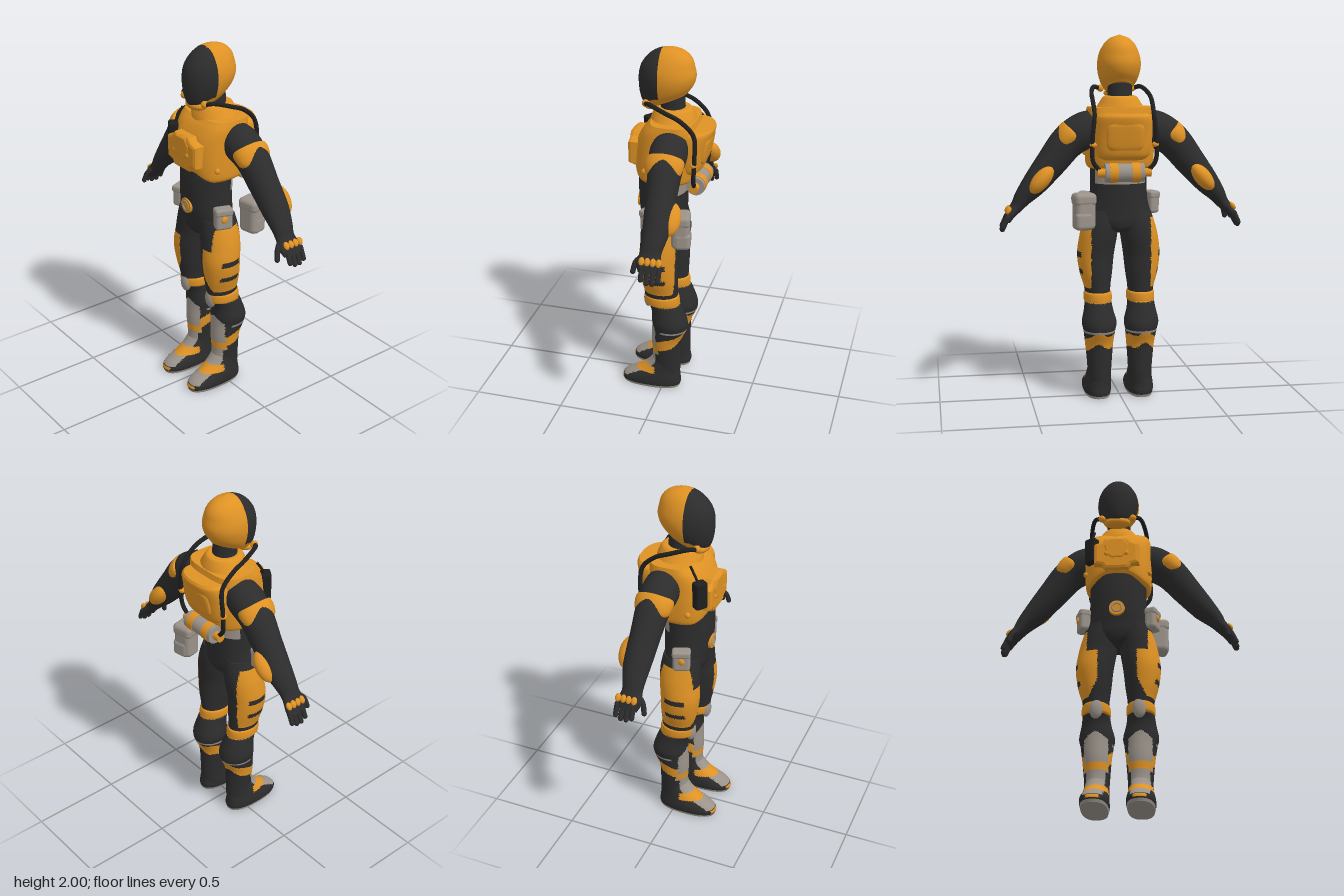
import * as THREE from 'three';
import { RoundedBoxGeometry } from 'three/addons/geometries/RoundedBoxGeometry.js';

const colour = (name, hex) => {
  const m = new THREE.MeshStandardMaterial({ color: hex });
  m.name = name;
  return m;
};

// Smooth skin through rings [x, y, z, radiusU, radiusZ, squareness]; vertical rings run upwards.
// tilt turns the sections along the path; pick(x, y, z) gives the material index of each face.
function loft(rings, { n = 32, m = 8, tilt = false, pick, warp } = {}) {
  const steps = m * (rings.length - 1);
  const path = new THREE.CatmullRomCurve3(rings.map(r => new THREE.Vector3(r[0], r[1], r[2])), false, 'catmullrom');
  const size = new THREE.CatmullRomCurve3(rings.map(r => new THREE.Vector3(r[3], r[4], r[5] || 2)), false, 'catmullrom');
  const pos = [], tris = [];
  const power = (v, e) => Math.sign(v) * Math.abs(v) ** e;
  const addRing = t => {
    const c = path.getPoint(t), s = size.getPoint(t), d = path.getTangent(t);
    const len = Math.hypot(d.x, d.y);
    const ux = tilt ? d.y / len : 1, uy = tilt ? -d.x / len : 0;
    for (let j = 0; j < n; j++) {
      const a = j / n * Math.PI * 2;
      const u = s.x * power(Math.cos(a), 2 / s.z), v = s.y * power(Math.sin(a), 2 / s.z);
      const p = new THREE.Vector3(c.x + ux * u, c.y + uy * u, c.z + v);
      if (warp) warp(p);
      pos.push(p.x, p.y, p.z);
    }
  };
  for (let i = 0; i <= steps; i++) addRing(i / steps);
  for (let i = 0; i < steps; i++) for (let j = 0; j < n; j++) {
    const k = (j + 1) % n, a = i * n + j, b = i * n + k;
    tris.push([a, a + n, b], [b, a + n, b + n]);
  }
  for (const end of [0, 1]) {
    const base = pos.length / 3;
    addRing(end);
    const mid = [0, 0, 0];
    for (let j = 0; j < n; j++) for (let q = 0; q < 3; q++) mid[q] += pos[(base + j) * 3 + q] / n;
    pos.push(...mid);
    for (let j = 0; j < n; j++) {
      const a = base + j, b = base + (j + 1) % n;
      tris.push(end ? [base + n, b, a] : [base + n, a, b]);
    }
  }
  const geo = new THREE.BufferGeometry();
  geo.setAttribute('position', new THREE.Float32BufferAttribute(pos, 3));
  if (pick) {
    const buckets = [[], [], []];
    for (const t of tris) {
      const mean = q => (pos[t[0] * 3 + q] + pos[t[1] * 3 + q] + pos[t[2] * 3 + q]) / 3;
      buckets[pick(mean(0), mean(1), mean(2))].push(...t);
    }
    let start = 0;
    buckets.forEach((b, i) => { if (b.length) geo.addGroup(start, b.length, i); start += b.length; });
    geo.setIndex(buckets.flat());
  } else geo.setIndex(tris.flat());
  geo.computeVertexNormals();
  return geo;
}

// Mirror a geometry across x = 0 and keep its faces outward
function mirrored(geo) {
  const g = geo.clone();
  if (!g.index) g.setIndex([...Array(g.attributes.position.count).keys()]);
  g.scale(-1, 1, 1);
  const ix = g.index.array;
  for (let i = 0; i < ix.length; i += 3) [ix[i + 1], ix[i + 2]] = [ix[i + 2], ix[i + 1]];
  return g;
}

const clamp = THREE.MathUtils.clamp;
const ball = ([x, y, z], [a, b, c], rz = 0) =>
  new THREE.SphereGeometry(1, 24, 16).scale(a, b, c).rotateZ(rz).translate(x, y, z);
const box = ([x, y, z], [a, b, c], r = 0.015, ry = 0) =>
  new RoundedBoxGeometry(a, b, c, 3, r).rotateY(ry).translate(x, y, z);
const tube = (pts, r, n = 24) =>
  new THREE.TubeGeometry(new THREE.CatmullRomCurve3(pts.map(p => new THREE.Vector3(...p))), n, r, 10);
const plate = (pts, z, depth, bevel) => new THREE.ExtrudeGeometry(
  new THREE.Shape(pts.map(p => new THREE.Vector2(...p))),
  { depth, bevelThickness: bevel, bevelSize: bevel, bevelSegments: 2 }).translate(0, 0, z);
const both = half => [...half, ...half.slice().reverse().map(([x, y]) => [-x, y])];

export function createModel() {
  const orange = colour('suit orange', 0xdf9224), black = colour('undersuit black', 0x2c2c2c);
  const grey = colour('armour grey', 0x9b938a), rubber = colour('rubber black', 0x1f1f20);
  const mats = [orange, black, grey];
  const group = new THREE.Group();
  const add = (name, geo, mat = mats) => {
    const mesh = new THREE.Mesh(geo, mat);
    mesh.name = name;
    group.add(mesh);
  };
  const pair = (name, geo, mat = mats) => {
    add(name + 'Left', geo, mat);
    add(name + 'Right', mirrored(geo), mat);
  };

  // Helmet with dark visor; the rim slopes down to the chin and vertices snap to the visor edge
  add('helmet', loft([
    [0, 1.715, 0.01, 0.07, 0.11], [0, 1.76, 0.01, 0.1, 0.14], [0, 1.82, 0.01, 0.117, 0.153],
    [0, 1.88, 0.01, 0.114, 0.148], [0, 1.94, 0, 0.09, 0.122], [0, 1.98, -0.005, 0.055, 0.075], [0, 2, -0.005, 0.005, 0.007],
  ], {
    n: 64, m: 10,
    warp: p => {
      p.y -= p.z * 0.4 * clamp((1.9 - p.y) / 0.18, 0, 1);
      if (Math.abs(p.z - 0.036) < 0.008) p.z = 0.036;
    },
    pick: (x, y, z) => z > 0.036 && (x / 0.128) ** 2 + ((y - 1.84) / 0.15) ** 2 < 1 ? 1 : 0,
  }));
  add('chinGuard', ball([0, 1.685, 0.095], [0.072, 0.03, 0.045]), orange);
  pair('hoseSocket', ball([0.088, 1.71, 0.105], [0.02, 0.02, 0.02]), orange);
  add('neck', loft([[0, 1.56, -0.025, 0.075, 0.07], [0, 1.68, -0.02, 0.066, 0.066], [0, 1.78, -0.01, 0.07, 0.07]]), black);
  add('collar', loft([[0, 1.57, -0.025, 0.165, 0.13], [0, 1.62, -0.025, 0.125, 0.12], [0, 1.665, -0.025, 0.095, 0.1], [0, 1.675, -0.025, 0.08, 0.085]]), orange);

  // Torso
  add('undersuit', loft([
    [0, 0.925, 0.02, 0.03, 0.05], [0, 0.945, 0.02, 0.1, 0.1], [0, 0.99, 0.022, 0.17, 0.118], [0, 1.04, 0.025, 0.175, 0.122],
    [0, 1.12, 0.03, 0.16, 0.13], [0, 1.25, 0.03, 0.156, 0.135], [0, 1.39, 0.02, 0.165, 0.135],
  ], { n: 40, pick: (x, y, z) => y > 1.2 && z < -0.03 ? 2 : 1 }));
  add('vest', loft([
    [0, 1.285, 0.005, 0.17, 0.155, 2.5], [0, 1.31, 0.005, 0.183, 0.165, 2.6], [0, 1.4, 0, 0.187, 0.174, 2.6],
    [0, 1.5, -0.005, 0.186, 0.165, 2.7], [0, 1.57, -0.02, 0.185, 0.143, 3.2], [0, 1.615, -0.035, 0.178, 0.118, 3.4],
  ], {
    n: 48, m: 6,
    // Raise the hem over the belly
    warp: p => { if (p.z > 0.05) p.y += 0.045 * clamp((1.39 - p.y) / 0.1, 0, 1) * clamp((0.15 - Math.abs(p.x)) / 0.08, 0, 1); },
  }), orange);
  add('chestPlate', plate(both([[0.03, 1.36], [0.056, 1.36], [0.07, 1.38], [0.107, 1.39], [0.107, 1.485], [0.07, 1.5], [0.055, 1.517]]), 0.135, 0.045, 0.018), orange);
  add('chestBoss', plate(both([[0.025, 1.415], [0.05, 1.435], [0.06, 1.485], [0.035, 1.52]]), 0.185, 0.01, 0.008), orange);
  pair('chestKnob', ball([0.055, 1.435, 0.192], [0.016, 0.016, 0.014]), orange);
  pair('vestStud', ball([0.178, 1.36, 0.09], [0.014, 0.016, 0.016]), orange);
  add('beltBuckle', new THREE.CylinderGeometry(0.042, 0.045, 0.02, 28).rotateX(Math.PI / 2).translate(0, 1.115, 0.158), orange);
  add('buckleRing', new THREE.TorusGeometry(0.025, 0.005, 8, 28).translate(0, 1.115, 0.168), grey);

  // Radio on the chest
  add('radio', box([-0.14, 1.475, 0.143], [0.07, 0.155, 0.055], 0.012, -0.6), rubber);
  add('radioAntenna', tube([[-0.14, 1.53, 0.14], [-0.138, 1.58, 0.115], [-0.13, 1.63, 0.085]], 0.007, 8), rubber);

  // Backpack, air tank and hoses
  add('backpack', loft([
    [0, 1.335, -0.13, 0.11, 0.04, 2.5], [0, 1.37, -0.13, 0.145, 0.07, 2.5], [0, 1.48, -0.13, 0.158, 0.095, 2.4],
    [0, 1.56, -0.14, 0.152, 0.107, 2.3], [0, 1.585, -0.15, 0.13, 0.09, 2.3],
  ], { n: 40 }), orange);
  add('backPanel', loft([
    [0, 1.39, -0.19, 0.08, 0.018, 3], [0, 1.42, -0.197, 0.1, 0.022, 3], [0, 1.51, -0.21, 0.1, 0.027, 3], [0, 1.54, -0.212, 0.08, 0.026, 3],
  ]), orange);
  const drum = (r, len, x) => new THREE.CylinderGeometry(r, r, len, 28).rotateZ(Math.PI / 2).translate(x, 1.27, -0.17);
  add('airTank', drum(0.05, 0.21, 0), grey);
  pair('tankBand', drum(0.053, 0.045, 0.06), orange);
  pair('tankValve', drum(0.024, 0.05, 0.12), orange);
  pair('airHose', tube([
    [0.085, 1.705, 0.11], [0.125, 1.72, 0.08], [0.155, 1.69, -0.02], [0.16, 1.655, -0.1], [0.16, 1.58, -0.172],
    [0.172, 1.45, -0.18], [0.168, 1.33, -0.175], [0.125, 1.275, -0.17],
  ], 0.012, 48), rubber);
  pair('hoseClip', ball([0.168, 1.42, -0.175], [0.02, 0.016, 0.02]), orange);

  // Arms and gloves
  pair('arm', loft([
    [0.12, 1.52, -0.05, 0.085, 0.085], [0.2, 1.49, -0.05, 0.1, 0.1], [0.29, 1.43, -0.055, 0.094, 0.09], [0.38, 1.32, -0.06, 0.083, 0.08],
    [0.47, 1.21, -0.065, 0.068, 0.075], [0.53, 1.14, -0.06, 0.05, 0.063], [0.565, 1.09, -0.055, 0.036, 0.056],
    [0.6, 1.05, -0.055, 0.028, 0.068], [0.625, 1.01, -0.065, 0.02, 0.06],
  ], { tilt: true }), black);
  pair('shoulderPad', loft([
    [0.255, 1.49, -0.05, 0.055, 0.08], [0.265, 1.48, -0.05, 0.074, 0.1], [0.29, 1.46, -0.05, 0.072, 0.104],
    [0.318, 1.425, -0.05, 0.058, 0.092], [0.33, 1.405, -0.05, 0.035, 0.06],
  ], { tilt: true }), orange);
  pair('elbowPad', ball([0.44, 1.235, -0.125], [0.09, 0.045, 0.055], -0.88), orange);
  for (let i = 0; i < 4; i++) {
    const z = -0.115 + i * 0.03, drop = i === 0 || i === 3 ? 0.015 : 0;
    pair('finger' + (i + 1), new THREE.CapsuleGeometry(0.014, 0.075 - drop, 4, 10).rotateZ(0.42).translate(0.634, 1.0 + drop / 2, z), black);
    pair('knuckle' + (i + 1), ball([0.616, 1.07, z + 0.003], [0.012, 0.022, 0.016], 0.6), orange);
  }
  pair('thumb', tube([[0.57, 1.08, -0.02], [0.59, 1.05, 0.015], [0.605, 1.0, 0.028]], 0.014, 10), black);
  pair('thumbTip', ball([0.605, 1.0, 0.028], [0.014, 0.016, 0.014]), black);

  // Legs with thigh panels, knee bands and shin guards
  const legPaint = (x, y, z) => {
    if (y > 0.62) {
      const slit = z > -0.03 && z < 0.085 && (Math.abs(y - 0.805) < 0.016 || Math.abs(y - 0.71) < 0.013);
      const edge = y > 0.88 ? 0.165 : z < 0 ? 0.165 : y > 0.72 ? 0.105 : 0.105 + (0.72 - y) * 0.5;
      return y < 1.01 && x > edge && !slit ? 0 : 1;
    }
    if (y > 0.54) return y < 0.595 ? 0 : 1;
    const wide = y > 0.22 ? 0.064 : 0.05;
    const shin = y < 0.44 && z > -0.005 && Math.abs(x - 0.117) < Math.min(wide, (0.445 - y) * 1.5);
    if (shin) return (y > 0.232 && y < 0.268) || (y > 0.1 && y < 0.135) ? 0 : 2;
    if (y > 0.375 && y < 0.385 && z < 0) return 2;
    const wave = 0.3 - z * 0.35 + 0.012 * Math.sin(x * 60);
    return y > wave - 0.035 && y < wave + 0.03 ? 0 : 1;
  };
  pair('leg', loft([
    [0.115, 0.04, 0, 0.066, 0.088], [0.115, 0.12, -0.01, 0.065, 0.085], [0.115, 0.2, -0.015, 0.069, 0.08], [0.116, 0.3, -0.015, 0.078, 0.085],
    [0.117, 0.38, -0.033, 0.088, 0.1], [0.118, 0.43, -0.034, 0.096, 0.1], [0.12, 0.5, -0.02, 0.08, 0.09], [0.12, 0.57, 0.01, 0.071, 0.092],
    [0.122, 0.62, 0.015, 0.073, 0.095], [0.128, 0.7, 0.022, 0.09, 0.104], [0.129, 0.8, 0.028, 0.102, 0.11], [0.115, 0.9, 0.02, 0.104, 0.112],
    [0.1, 0.98, 0.02, 0.099, 0.112], [0.09, 1.05, 0.025, 0.085, 0.105],
  ], { n: 64, m: 10, pick: legPaint }));
  pair('kneeBand', loft([
    [0.12, 0.538, 0.005, 0.07, 0.09], [0.12, 0.548, 0.007, 0.078, 0.098], [0.12, 0.585, 0.01, 0.077, 0.098], [0.12, 0.595, 0.012, 0.071, 0.092],
  ], { m: 4 }), orange);
  pair('kneeCap', ball([0.116, 0.56, 0.088], [0.037, 0.058, 0.026]), grey);

  // Boots
  pair('boot', loft([
    [0.12, 0, 0.072, 0.07, 0.165, 2.4], [0.12, 0.03, 0.072, 0.077, 0.172, 2.4], [0.12, 0.06, 0.062, 0.076, 0.158, 2.3],
    [0.118, 0.1, 0.028, 0.07, 0.122], [0.116, 0.14, 0.005, 0.066, 0.092], [0.115, 0.18, -0.01, 0.062, 0.076],
  ], {
    n: 56, m: 8,
    pick: (x, y, z) => {
      const off = Math.abs(x - 0.12);
      if (y < 0.014) return 2;
      if (z > 0.2 && y > 0.022 && y < 0.04 && off < 0.035) return 0;
      if (z < 0.04 || y < 0.045) return 1;
      if (y > 0.092 && y < 0.132) return 0;
      return off < 0.052 ? 2 : 1;
    },
  }));

  // Hip pouches
  pair('hipPouch', box([0.19, 1.08, 0.06], [0.06, 0.12, 0.095], 0.018, -0.35), grey);
  pair('hipPouchFlap', box([0.191, 1.123, 0.06], [0.066, 0.042, 0.1], 0.014, -0.35), grey);
  pair('pouchButton', ball([0.219, 1.085, 0.071], [0.01, 0.02, 0.02]), orange);
  add('largePouch', box([0.212, 1.05, -0.12], [0.115, 0.18, 0.1], 0.03, 0.2), grey);
  add('largePouchFlap', box([0.212, 1.125, -0.12], [0.122, 0.07, 0.106], 0.025, 0.2), grey);
  add('largePouchPocket', box([0.22, 1.01, -0.13], [0.1, 0.1, 0.095], 0.025, 0.2), grey);

  return group;
}
